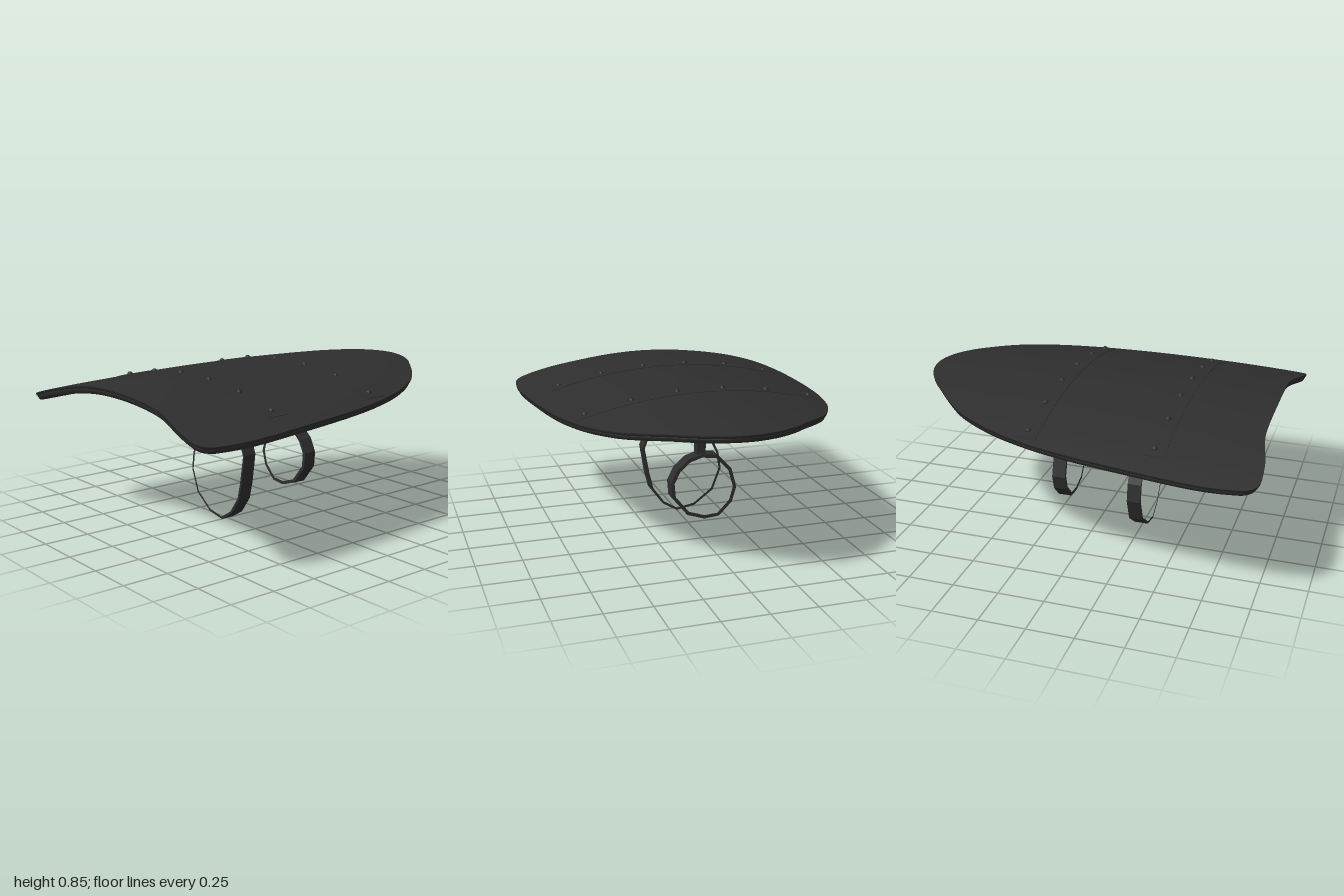
import * as THREE from 'three';

const gunmetal = new THREE.MeshStandardMaterial({ color: 0x2e2e2e });
gunmetal.name = 'dark gunmetal';

// Height of the curved outer face
const height = (x, z) => 0.84 - 0.03 * x * x - 0.21 * z * z;

// Half outline (x, z) from the pointed tip to the notched end, then mirrored
const half = [
  [1, 0], [0.975, 0.13], [0.91, 0.25], [0.83, 0.345], [0.73, 0.455], [0.62, 0.55],
  [0.42, 0.655], [0.2, 0.725], [0, 0.765], [-0.3, 0.8], [-0.72, 0.825], [-0.9, 0.81],
  [-0.96, 0.795], [-1, 0.755], [-1, 0.6], [-0.975, 0.48], [-0.96, 0.38], [-0.96, 0],
];
const mirrored = half.slice(1, -1).reverse().map(([x, z]) => [x, -z]);
const outline = new THREE.CatmullRomCurve3(
  [...half, ...mirrored].map(([x, z]) => new THREE.Vector3(x, 0, z)), true,
).getPoints(160);
outline.pop();

// Surface through scaled copies of the outline; each row is [scale, offset from outer face]
function sheet(rows) {
  const positions = [], indices = [], n = outline.length, centre = -0.1;
  for (const [scale, offset] of rows) {
    for (const p of outline) {
      const x = centre + (p.x - centre) * scale, z = p.z * scale;
      positions.push(x, height(x, z) + offset, z);
    }
  }
  for (let i = 0; i < rows.length - 1; i++) {
    for (let j = 0; j < n; j++) {
      const k = (j + 1) % n, a = i * n, b = a + n;
      if (rows[i][0] > 0) indices.push(a + j, a + k, b + j);
      if (rows[i + 1][0] > 0) indices.push(a + k, b + k, b + j);
    }
  }
  const g = new THREE.BufferGeometry();
  g.setAttribute('position', new THREE.Float32BufferAttribute(positions, 3));
  g.setIndex(indices);
  g.computeVertexNormals();
  return g;
}

// Faceted closed band from a (z, y) loop, extruded across x
function loopGeometry(points, width, thickness) {
  const c = new THREE.Vector2();
  const outer = points.map(([z, y]) => new THREE.Vector2(z, y));
  outer.forEach((p) => c.addScaledVector(p, 1 / outer.length));
  const inner = outer.map((p) => {
    const d = p.clone().sub(c);
    return d.setLength(d.length() - thickness).add(c);
  });
  const shape = new THREE.Shape(outer);
  shape.holes.push(new THREE.Path(inner));
  const g = new THREE.ExtrudeGeometry(shape, { depth: width, bevelEnabled: false });
  g.translate(0, 0, -width / 2);
  g.rotateY(-Math.PI / 2);
  return g;
}

export function createModel() {
  const model = new THREE.Group();
  model.name = 'shield';
  const add = (name, geometry, x = 0, y = 0, z = 0) => {
    const mesh = new THREE.Mesh(geometry, gunmetal);
    mesh.name = name;
    mesh.position.set(x, y, z);
    model.add(mesh);
    return mesh;
  };

  // Curved plate: outer face, edge with a fine groove, lip and hollow inner face
  const steps = [0, 0.2, 0.4, 0.6, 0.8, 0.92, 1];
  add('outerFace', sheet(steps.map((s) => [s, 0])));
  add('upperEdge', sheet([[1, 0], [0.997, -0.014], [0.987, -0.016]]));
  add('lowerEdge', sheet([[0.987, -0.016], [0.993, -0.02], [0.982, -0.041], [0.97, -0.045]]));
  add('innerLip', sheet([[0.97, -0.045], [0.945, -0.042], [0.935, -0.03]]));
  add('innerFace', sheet(steps.slice().reverse().map((s) => [s * 0.935, -0.03])));

  // Reinforcing bands that follow the plate, each with a row of rivets
  for (const bandX of [-0.46, 0.205]) {
    const band = new THREE.BoxGeometry(0.12, 0.012, 1.38, 1, 1, 28);
    band.translate(bandX, -0.004, 0);
    const p = band.attributes.position;
    for (let i = 0; i < p.count; i++) p.setY(i, p.getY(i) + height(p.getX(i), p.getZ(i)));
    band.computeVertexNormals();
    add('reinforcingBand', band);
    for (const z of [0.127, 0.38, 0.633]) {
      for (const side of [-1, 1]) {
        add('rivet', new THREE.SphereGeometry(0.016, 10, 6), bandX, height(bandX, z), side * z);
      }
    }
  }

  // Large and small arm loops hanging from posts
  const largeLoop = [
    [0, 0.565], [0.165, 0.505], [0.205, 0.405], [0.18, 0.245], [0.155, 0.145], [0.085, 0.05],
    [0, 0], [-0.11, 0.02], [-0.225, 0.105], [-0.275, 0.235], [-0.26, 0.335], [-0.225, 0.41],
    [-0.13, 0.5],
  ];
  const smallLoop = [
    [0, 0.487], [0.075, 0.465], [0.14, 0.41], [0.177, 0.335], [0.17, 0.25], [0.085, 0.145],
    [-0.015, 0.112], [-0.1, 0.12], [-0.175, 0.195], [-0.2, 0.28], [-0.17, 0.39], [-0.09, 0.475],
  ];
  add('largeArmLoop', loopGeometry(largeLoop, 0.076, 0.014), -0.25);
  add('smallArmLoop', loopGeometry(smallLoop, 0.076, 0.02), 0.21);
  for (const [x, bottom] of [[-0.25, 0.555], [0.21, 0.475]]) {
    add('loopPost', new THREE.BoxGeometry(0.048, 0.82 - bottom, 0.05), x, (0.82 + bottom) / 2, 0);
  }

  // Bent hand grip with sloping ends
  const grip = new THREE.Shape([
    [0.18, 0.8], [0.065, 0.675], [-0.065, 0.675], [-0.18, 0.8],
    [-0.135, 0.8], [-0.05, 0.705], [0.05, 0.705], [0.135, 0.8],
  ].map(([z, y]) => new THREE.Vector2(z, y)));
  const gripGeometry = new THREE.ExtrudeGeometry(grip, { depth: 0.04, bevelEnabled: false });
  gripGeometry.translate(0, 0, -0.02);
  gripGeometry.rotateY(-Math.PI / 2);
  add('handGrip', gripGeometry, 0.39);

  return model;
}
